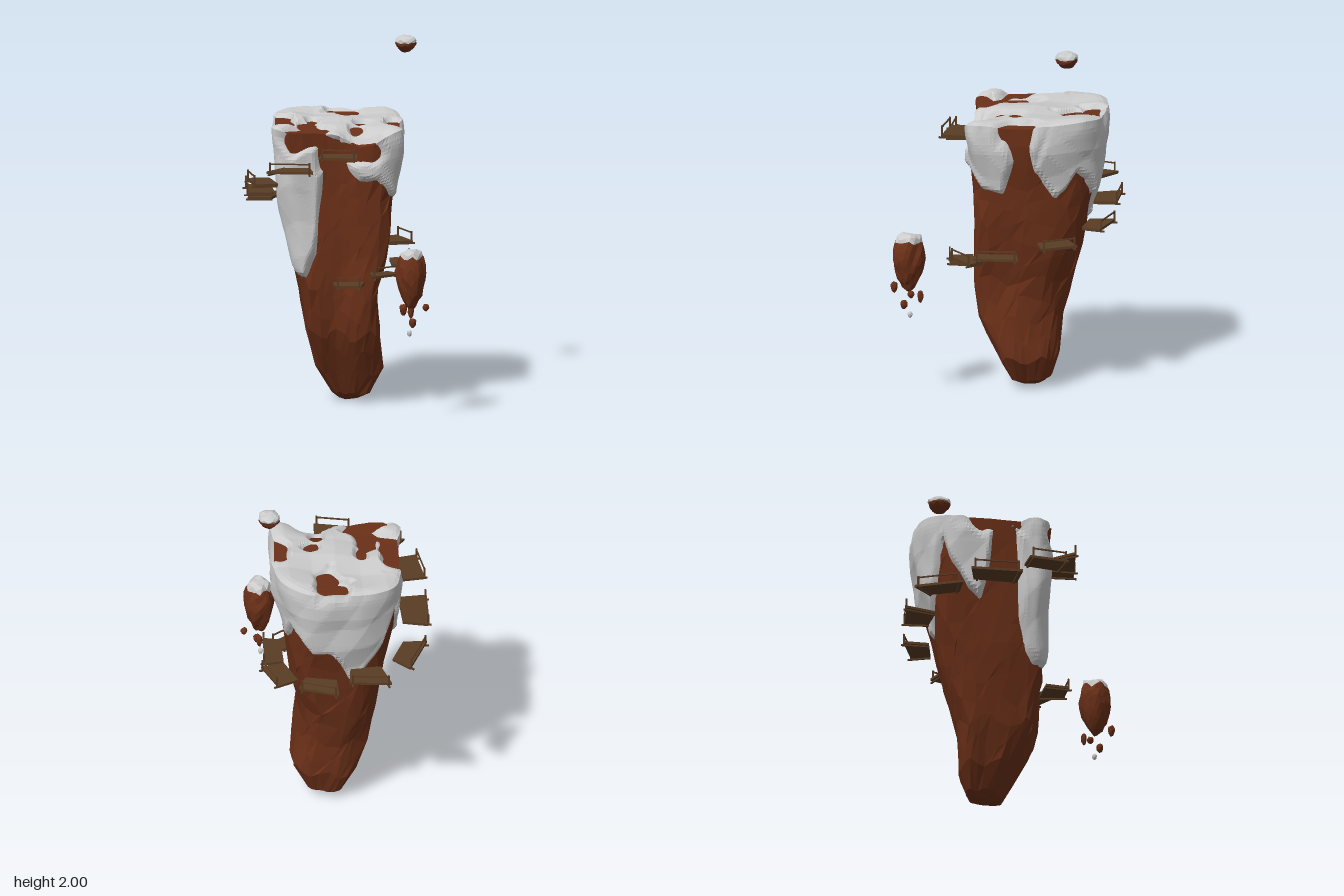
import * as THREE from 'three';

const mat = (color) => new THREE.MeshStandardMaterial({ color, flatShading: true });
const rockMat = mat(0x6b3018), snowMat = mat(0xcccccc), woodMat = mat(0x5a3d24);
const { lerp, clamp, radToDeg, smoothstep } = THREE.MathUtils;

// Plan outline of the cliff top (x, z)
const outline = new THREE.CatmullRomCurve3([
  [-0.205, -0.535], [-0.1, -0.575], [0, -0.58], [0.1, -0.555], [0.31, -0.485], [0.38, -0.4], [0.41, -0.28],
  [0.4, -0.1], [0.375, 0], [0.34, 0.14], [0.31, 0.23], [0.2, 0.26], [0.08, 0.23], [0, 0.18], [-0.1, 0.155],
  [-0.2, 0.14], [-0.32, 0.12], [-0.38, 0.03], [-0.36, -0.05], [-0.33, -0.2], [-0.285, -0.35], [-0.25, -0.46],
].map(([x, z]) => new THREE.Vector3(x, 0, z)), true);

// Extents of the cliff by height: y, x min, x max, z min, z max
const extents = [
  [0, 0.08, 0.08, -0.13, -0.13], [0.012, 0.04, 0.14, -0.19, -0.08], [0.045, -0.01, 0.21, -0.245, -0.01],
  [0.18, -0.11, 0.285, -0.295, 0.07], [0.4, -0.185, 0.25, -0.32, 0.175], [0.6, -0.21, 0.235, -0.38, 0.19],
  [0.8, -0.25, 0.295, -0.43, 0.2], [1, -0.285, 0.325, -0.47, 0.21], [1.2, -0.315, 0.34, -0.515, 0.215],
  [1.4, -0.34, 0.38, -0.545, 0.235], [1.54, -0.355, 0.385, -0.55, 0.245],
];

// Lower edge of the snow by bearing (degrees, 0 = front, 90 = +x)
const snowEdge = [
  [-180, 0.93], [-172, 1.02], [-160, 1.15], [-153, 1.3], [-148, 1.42], [-143, 1.3], [-130, 1.15], [-117, 1.08],
  [-108, 1.22], [-101, 1.5], [-80, 1.5], [-71, 1], [-60, 0.8], [-50, 0.74], [-38, 0.73], [-28, 0.88],
  [-23, 1.2], [-18, 1.5], [-4, 1.5], [3, 1.34], [12, 1.28], [25, 1.28], [38, 1.18], [53, 1.15], [62, 1.32],
  [67, 1.5], [75, 1.5], [80, 1.3], [90, 1.2], [100, 1.12], [110, 1.18], [118, 1.27], [128, 1.22],
  [138, 1.12], [152, 1.13], [160, 1.06], [170, 0.93], [180, 0.93],
];

// Bare ellipsoidal spots in the snow: centre, radii
const bareSpots = [
  [-0.26, 1.55, -0.2, 0.06, 0.09, 0.19], [-0.21, 1.52, 0.1, 0.13, 0.08, 0.065], [-0.16, 1.54, -0.03, 0.06, 0.07, 0.12],
  [-0.08, 1.44, 0.17, 0.08, 0.1, 0.06], [0.07, 1.43, 0.22, 0.13, 0.05, 0.07], [0.15, 1.56, -0.38, 0.07, 0.08, 0.1],
  [0.14, 1.55, -0.45, 0.08, 0.06, 0.06], [-0.1, 1.56, -0.16, 0.03, 0.06, 0.045], [0.15, 1.56, -0.03, 0.045, 0.06, 0.035],
  [0.09, 1.54, 0.08, 0.035, 0.08, 0.045], [0.38, 1.52, 0, 0.08, 0.2, 0.09], [0.33, 1.55, 0.01, 0.045, 0.1, 0.11],
];

// Linear lookup of column c in a table sorted by its first column
function lookup(table, t, c) {
  let i = 1;
  while (i < table.length - 1 && table[i][0] < t) i++;
  const a = table[i - 1], b = table[i];
  return lerp(a[c], b[c], clamp((t - a[0]) / (b[0] - a[0]), 0, 1));
}

// Triangle wave, for faceted lumps
const tri = (t) => Math.asin(Math.sin(t)) / 1.571;

const topY = (x, z) => 1.545 - 0.08 * Math.exp(-(((x - 0.07) / 0.15) ** 2) - ((z - 0.24) / 0.12) ** 2)
  + 0.007 * Math.sin(11 * x + 1) * Math.cos(10 * z);

// Cliff surface: v 0..1 climbs the side, 1..2 runs over the top to its middle
function cliffPoint(u, v) {
  const o = outline.getPoint((u + 1) % 1);
  const rimY = topY(o.x * 0.93, o.z * 0.93);
  const y = rimY * Math.min(v, 1);
  const e = (c) => lookup(extents, y, c);
  const nx = (o.x + 0.38) / 0.79, nz = (o.z + 0.58) / 0.84, t = u * Math.PI * 2;
  const p = new THREE.Vector3(lerp(e(1), e(2), nx), y, lerp(e(3), e(4), nz));
  const cx = (e(1) + e(2)) / 2, cz = (e(3) + e(4)) / 2, rough = lerp(1.2, 0.3, y / 1.55);
  // The foot is pinched across one diagonal, most at the front right
  const pinch = (nx < 0.5 ? 2.4 : 1.2) * Math.min((nx - 0.5) * (nz - 0.5), 0) * clamp(1.3 - y / 0.5, 0, 1);
  const k = 1 + pinch + rough * (0.028 * Math.sin(5 * t + 7 * y) + 0.018 * Math.sin(9 * t - 13 * y + 1));
  p.x = cx + (p.x - cx) * k;
  p.z = cz + (p.z - cz) * k;
  if (v > 1) {
    const s = 2 - v;
    p.x = lerp(0.02, p.x, s);
    p.z = lerp(-0.16, p.z, s);
    p.y = lerp(topY(p.x, p.z), rimY, s ** 4);
  }
  return p;
}

// Cliff vertices shifted along the surface for irregular facets
function facetPoint(u, v) {
  const w = clamp(6 * v, 0, 1) * clamp(6 * (1 - v), 0, 1);
  return cliffPoint(u + 0.009 * w * Math.sin(43 * v + 61 * u), v + 0.022 * w * Math.sin(Math.PI * 14 * u + 19 * v));
}

// Snow surface: raised above the cliff where covered, sunk inside it where bare
function snowPoint(u, v) {
  const p = cliffPoint(u, v);
  const bearing = Math.atan2(p.x, p.z + 0.16), deg = radToDeg(bearing);
  const slope = (lookup(snowEdge, deg + 2, 1) - lookup(snowEdge, deg - 2, 1)) / 0.025;
  let d = v > 1 ? 0.2 : (p.y - lookup(snowEdge, deg, 1)) / Math.hypot(1, slope);
  const wobble = 1 + 0.16 * Math.sin(38 * p.x + 21 * p.z) + 0.12 * Math.sin(47 * p.z - 29 * p.x + 20 * p.y);
  for (const [x, y, z, rx, ry, rz] of bareSpots) {
    const q = Math.hypot((p.x - x) / rx, (p.y - y) / ry, (p.z - z) / rz) * wobble;
    d = Math.min(d, (q - 1) * Math.min(rx, ry, rz));
  }
  const lump = 0.006 * (tri(23 * p.x + 13 * p.y + 5 * p.z) + tri(19 * p.z - 17 * p.y - 8 * p.x));
  const off = lerp(-0.025, 0.028 + lump, smoothstep(d, -0.03, 0.032));
  const up = clamp((v - 0.96) / 0.1, 0, 1) * Math.PI / 2;
  return p.add(new THREE.Vector3(Math.sin(bearing) * Math.cos(up), Math.sin(up), Math.cos(bearing) * Math.cos(up)).multiplyScalar(off));
}

function gridMesh(name, point, segs, rows, material) {
  const pos = [], index = [];
  rows.forEach((v) => { for (let i = 0; i < segs; i++) pos.push(...point(i / segs, v).toArray()); });
  for (let j = 0; j < rows.length - 1; j++) for (let i = 0; i < segs; i++) {
    const n = (i + 1) % segs, a = j * segs + i, b = j * segs + n;
    index.push(a, a + segs, b, b, a + segs, b + segs);
  }
  const g = new THREE.BufferGeometry();
  g.setAttribute('position', new THREE.Float32BufferAttribute(pos, 3));
  g.setIndex(index);
  const flat = g.toNonIndexed();
  flat.computeVertexNormals();
  return named(new THREE.Mesh(flat, material), name);
}

const named = (obj, name) => Object.assign(obj, { name });
const range = (a, b, n) => Array.from({ length: n + 1 }, (_, i) => lerp(a, b, i / n));

// Lumpy boulder, broad on top; snowLine (in unit height) adds a snow cap
function boulder(name, [x, y, z], [rx, ry, rz], detail, taper, snowLine) {
  const group = named(new THREE.Group(), name);
  const layer = (part, material, grow) => {
    const g = new THREE.IcosahedronGeometry(1, detail), p = g.attributes.position, w = new THREE.Vector3();
    for (let i = 0; i < p.count; i++) {
      w.fromBufferAttribute(p, i);
      const lump = 0.96 + 0.1 * tri(5 * w.x + 20 * x + 3 * w.y) * Math.cos(6 * w.z + 4 * w.y);
      const wide = 1 + taper * Math.min(w.y - 0.1, 0) + 0.3 * Math.max(w.y, 0) ** 2, k = lump + grow(w);
      p.setXYZ(i, w.x * k * wide * rx, w.y * k * ry, w.z * k * wide * rz);
    }
    g.computeVertexNormals();
    group.add(named(new THREE.Mesh(g, material), part));
  };
  layer('boulderRock', rockMat, () => 0);
  if (snowLine !== undefined) {
    layer('boulderSnow', snowMat, (w) => clamp((w.y - snowLine - 0.06 * Math.sin(9 * w.x + 5 * w.z)) * 0.5, -0.1, 0.05));
  }
  group.position.set(x, y, z);
  return group;
}

// Square timber between two points
function beam(name, a, b, size) {
  const m = named(new THREE.Mesh(new THREE.BoxGeometry(size, size, a.distanceTo(b)), woodMat), name);
  m.position.lerpVectors(a, b, 0.5);
  m.lookAt(b);
  return m;
}

// Walkway deck with a railing; corners are outer A, outer B, inner B, inner A
function walkway(y, corners) {
  const group = named(new THREE.Group(), 'walkway');
  const shape = new THREE.Shape(corners.map(([x, z]) => new THREE.Vector2(x, z)));
  const deck = new THREE.ExtrudeGeometry(shape, { depth: 0.014, bevelEnabled: false }).rotateX(Math.PI / 2);
  deck.translate(0, y, 0);
  group.add(named(new THREE.Mesh(deck, woodMat), 'deck'));
  const at = (i) => new THREE.Vector3(corners[i][0], y, corners[i][1]);
  const ends = [0.08, 0.92].map((t) => {
    const foot = at(0).lerp(at(1), t), inner = at(3).lerp(at(2), t);
    const out = foot.clone().sub(inner).setLength(0.018);
    group.add(beam('joist', inner.clone().setY(y - 0.018), foot.clone().add(out).setY(y - 0.018), 0.009));
    group.add(beam('post', foot.clone().setY(y - 0.02), foot.clone().setY(y + 0.05), 0.009));
    return foot.setY(y + 0.042);
  });
  group.add(beam('rail', ends[0], ends[1], 0.007));
  return group;
}

export function createModel() {
  const model = named(new THREE.Group(), 'snowyCliff');
  model.add(gridMesh('cliff', facetPoint, 33, [0, 0.008, 0.03, 0.116, ...range(0.19, 1, 11), ...range(1.08, 2, 7)], rockMat));
  model.add(gridMesh('snow', snowPoint, 176, [...range(0.43, 0.98, 44), ...range(1, 2, 28)], snowMat));

  // Walkways spiralling down around the cliff
  [
    [1.43, [[-0.17, 0.28], [0.025, 0.365], [0.06, 0.22], [-0.13, 0.16]]],
    [1.35, [[-0.45, 0.2], [-0.205, 0.285], [-0.19, 0.15], [-0.33, 0.1]]],
    [1.27, [[-0.49, -0.08], [-0.5, 0.145], [-0.37, 0.145], [-0.37, -0.07]]],
    [1.18, [[-0.42, -0.4], [-0.48, -0.12], [-0.33, -0.1], [-0.29, -0.34]]],
    [1.1, [[-0.24, -0.67], [-0.4, -0.44], [-0.27, -0.415], [-0.17, -0.56]]],
    [1.02, [[0.09, -0.605], [-0.135, -0.675], [-0.12, -0.5], [0.05, -0.48]]],
    [0.94, [[0.34, -0.47], [0.145, -0.59], [0.12, -0.45], [0.28, -0.38]]],
    [0.875, [[0.46, -0.12], [0.42, -0.33], [0.3, -0.3], [0.33, -0.12]]],
    [0.805, [[0.345, 0.24], [0.41, 0], [0.3, -0.01], [0.26, 0.2]]],
    [0.76, [[0.12, 0.33], [0.3, 0.25], [0.25, 0.17], [0.14, 0.18]]],
    [0.71, [[-0.08, 0.3], [0.06, 0.32], [0.11, 0.19], [-0.07, 0.17]]],
  ].forEach(([y, corners]) => model.add(walkway(y, corners)));

  // Floating boulders and falling pebbles
  model.add(boulder('floatingRock', [0.275, 0.78, 0.587], [0.086, 0.172, 0.096], 3, 0.32, 0.74));
  model.add(boulder('highRock', [0.455, 1.951, -0.265], [0.061, 0.049, 0.064], 2, 0.25, 0.22));
  [[0.215, 0.625, 0.66, 0.022, 0.035], [0.36, 0.62, 0.59, 0.02, 0.022], [0.29, 0.585, 0.525, 0.018, 0.038],
    [0.278, 0.54, 0.615, 0.022, 0.028]].forEach(([x, y, z, r, h]) => model.add(boulder('pebble', [x, y, z], [r, h, r], 1, 0.3)));
  model.add(boulder('snowyPebble', [0.268, 0.478, 0.58], [0.014, 0.018, 0.014], 1, 0.2, -1.2));
  return model;
}
